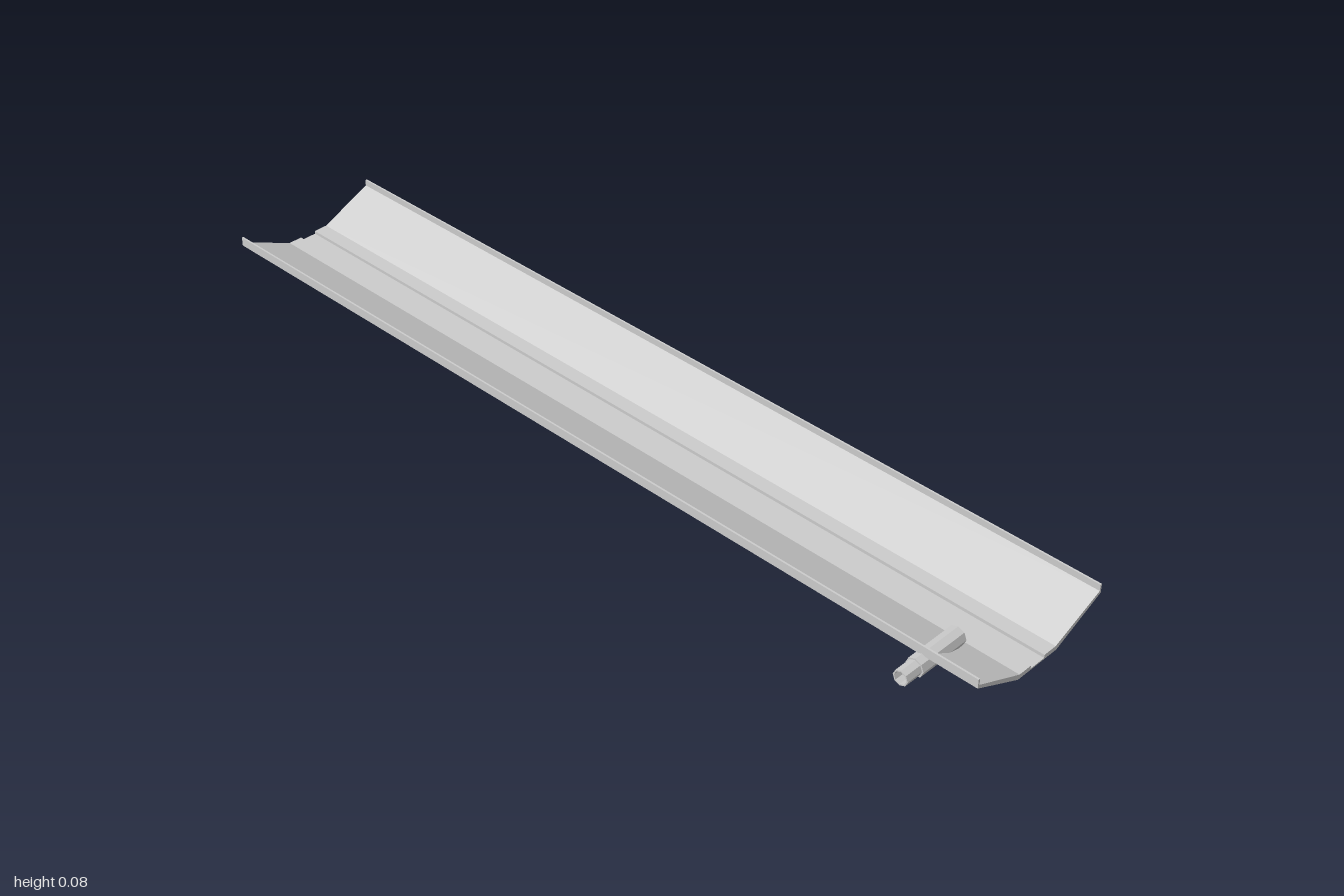
import * as THREE from 'three';

const v2 = ([x, y]) => new THREE.Vector2(x, y);

export function createModel() {
  const group = new THREE.Group();
  const material = new THREE.MeshStandardMaterial({ color: 0xcccccc, flatShading: true });

  // Half of the channel's cross-section about its own centre line:
  // outer skin from the floor up to the lip, then back down the inside.
  const half = [
    [0.055, 0], [0.176, 0.058], [0.176, 0.078], [0.172, 0.078],
    [0.172, 0.064], [0.052, 0.01], [0.0195, 0.01], [0.0195, 0.003],
  ];
  const centre = 0.027;
  const right = half.map(([x, y]) => [centre + x, y]);
  const left = half.map(([x, y]) => [centre - x, y]).reverse();

  // Long trough with sloping sides, upright lips and a shallow floor groove
  const troughGeometry = new THREE.ExtrudeGeometry(
    new THREE.Shape([...right, ...left].map(v2)),
    { depth: 2, bevelEnabled: false },
  );
  troughGeometry.translate(0, 0, -1);
  const trough = new THREE.Mesh(troughGeometry, material);
  trough.name = 'trough';
  group.add(trough);

  // Hollow stepped drain pipe through the sloping side: [radius, position along x]
  const pipeProfile = [
    [0.0135, -0.205], [0.0165, -0.205], [0.0165, -0.167], [0.02, -0.167],
    [0.02, -0.049], [0.0165, -0.049], [0.0135, -0.167], [0.0135, -0.205],
  ];
  const pipe = new THREE.Mesh(new THREE.LatheGeometry(pipeProfile.map(v2), 8), material);
  pipe.name = 'drainPipe';
  pipe.rotation.z = -Math.PI / 2;
  pipe.position.set(0, 0.041, 0.88);
  group.add(pipe);

  return group;
}
